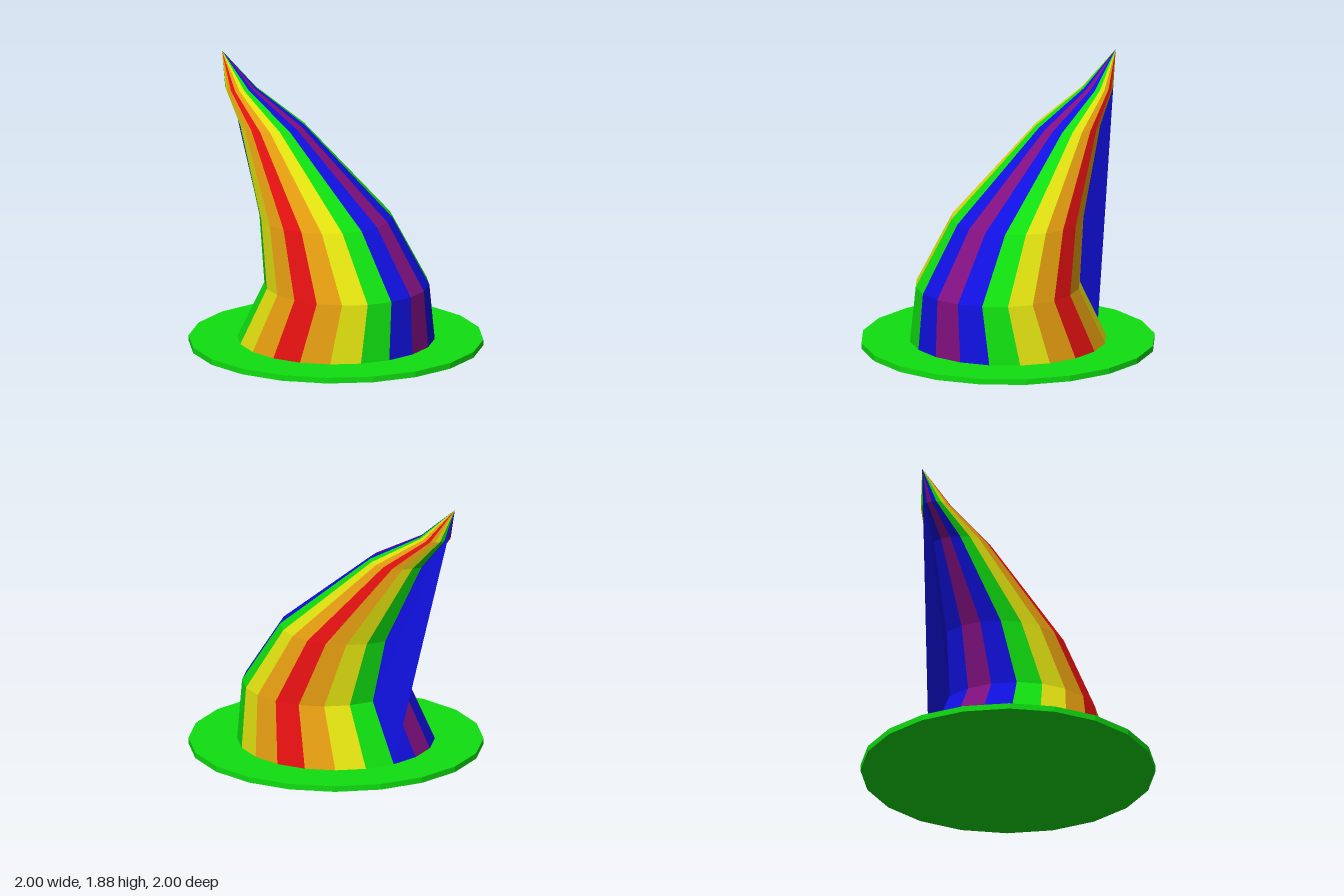
import * as THREE from 'three';

const SIDES = 20;
// Cone cross-sections from brim to tip: [height, centre x, radius]
const RINGS = [
  [0.04, 0, 0.67], [0.44, 0.095, 0.56], [0.88, -0.09, 0.45],
  [1.44, -0.56, 0.22], [1.65, -0.835, 0.105], [1.88, -1, 0],
];

function material(color) {
  return new THREE.MeshStandardMaterial({ color, flatShading: true, side: THREE.DoubleSide });
}

// Point k of a ring, counted from +x towards +z
function ringPoint([y, cx, r], k) {
  const a = (k / SIDES) * Math.PI * 2;
  return [cx + r * Math.cos(a), y, r * Math.sin(a)];
}

function triangleMesh(points, mat, name) {
  const geometry = new THREE.BufferGeometry();
  geometry.setAttribute('position', new THREE.Float32BufferAttribute(points.flat(), 3));
  geometry.computeVertexNormals();
  const mesh = new THREE.Mesh(geometry, mat);
  mesh.name = name;
  return mesh;
}

export function createModel() {
  const hat = new THREE.Group();
  hat.name = 'bentHat';

  const red = material(0xe01010);
  const orange = material(0xe09a10);
  const yellow = material(0xe0e010);
  const green = material(0x10e010);
  const blue = material(0x1010e0);
  const purple = material(0x801080);

  // Flat brim
  const brim = new THREE.Mesh(new THREE.CylinderGeometry(1, 1, 0.04, SIDES), green);
  brim.name = 'brim';
  brim.position.y = 0.02;
  hat.add(brim);

  // Crown: one coloured stripe per side, running from brim to tip
  const crown = new THREE.Group();
  crown.name = 'crown';
  hat.add(crown);
  const colors = [blue, green, yellow, orange, red, orange, yellow, green, blue, purple];
  for (let k = 0; k < SIDES; k++) {
    const points = [];
    for (let i = 0; i < RINGS.length - 1; i++) {
      const a = ringPoint(RINGS[i], k), b = ringPoint(RINGS[i + 1], k);
      const c = ringPoint(RINGS[i + 1], k + 1), d = ringPoint(RINGS[i], k + 1);
      points.push(a, c, d);
      if (RINGS[i + 1][2] > 0) points.push(a, b, c);
    }
    crown.add(triangleMesh(points, colors[k % 10], 'stripe'));
  }

  // Web spanning the hollow under the bend, from brim straight to tip
  const edge = RINGS.map((ring) => ringPoint(ring, 11));
  const tip = edge[edge.length - 1];
  const web = [];
  for (let i = 0; i < edge.length - 2; i++) web.push(tip, edge[i], edge[i + 1]);
  crown.add(triangleMesh(web, blue, 'bendWeb'));

  return hat;
}
